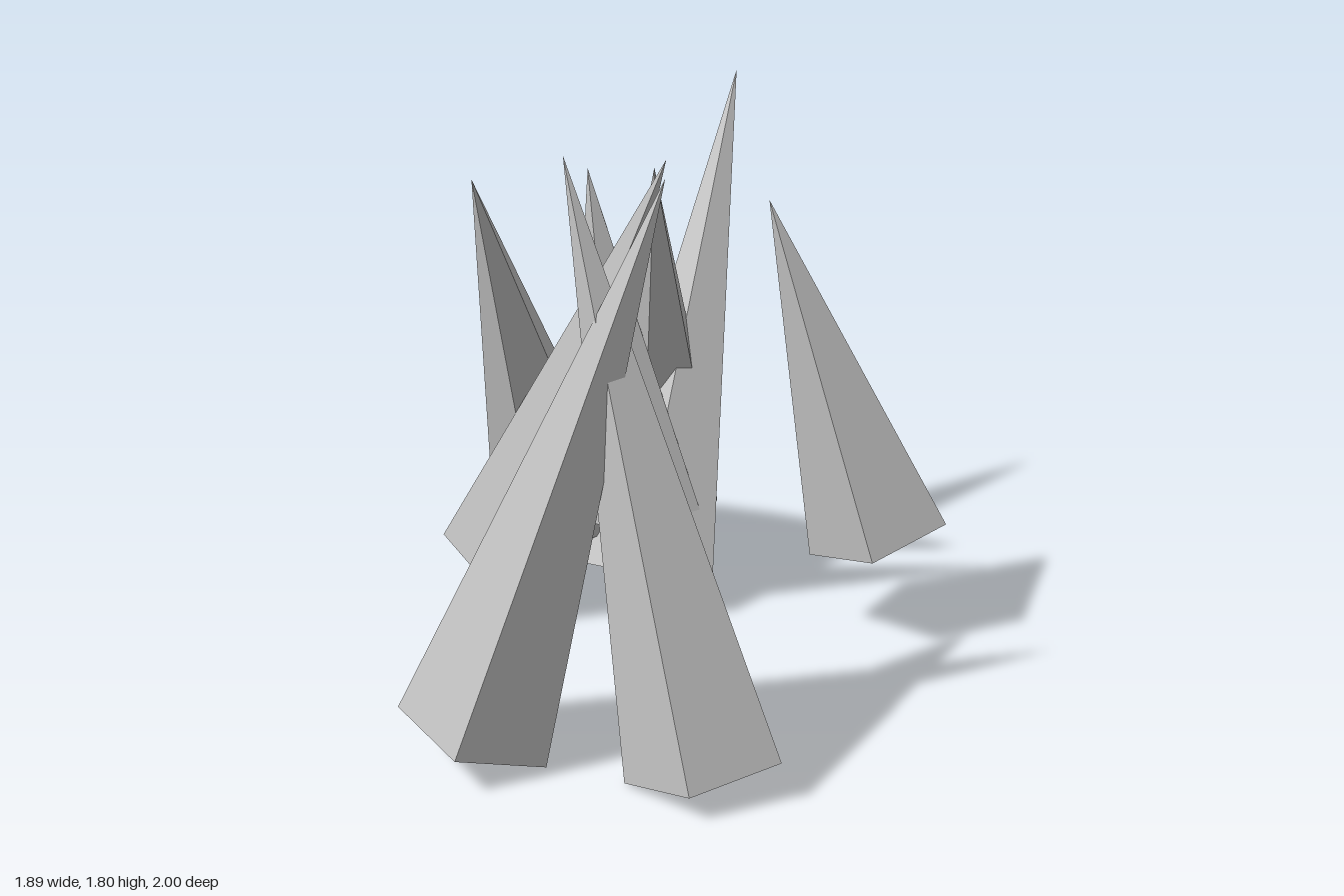
import * as THREE from 'three';

// A cluster of leaning five-sided spikes: [tip, centre of base]
const SPIKES = [
  ['frontSpike',       [0.53, 1.76, 0.38],   [0.174, 0.10, 0.80]],
  ['leftSpike',        [0.26, 1.80, 0.52],   [0.726, 0.06, 0.38]],
  ['backLeftSpike',    [0.075, 1.50, -0.455], [0.32, 0.36, -0.765]],
  ['tallBackSpike',    [-0.67, 1.77, -1.0],  [-0.341, 0.10, -0.318]],
  ['innerSpike',       [-0.03, 1.66, -0.11], [-0.638, 0.20, 0.07]],
  ['rightSpike',       [-0.45, 1.59, 0.33],  [-0.68, 0.28, -0.185]],
  ['backRightSpike',   [-0.215, 1.59, -0.22], [-0.725, 0.28, -0.695]],
  ['shortMiddleSpike', [-0.57, 1.53, -0.23], [-0.436, 0.33, -0.34]],
];
const RADIUS = 0.25;

function makeSpike(name, tip, base, material) {
  const foot = new THREE.Vector3(...base);
  const axis = new THREE.Vector3(...tip).sub(foot);
  const height = axis.length();
  axis.normalize();

  // Pentagonal cone standing on its base, one corner toward the back
  const cone = new THREE.ConeGeometry(RADIUS, height, 5);
  cone.rotateY(Math.PI);
  cone.translate(0, height / 2, 0);
  const geometry = cone.toNonIndexed();
  geometry.computeVertexNormals();

  // Lean forward or back first, then sideways
  const mesh = new THREE.Mesh(geometry, material);
  mesh.name = name;
  mesh.position.copy(foot);
  mesh.rotation.set(Math.asin(axis.z), 0, Math.atan2(-axis.x, axis.y), 'ZYX');
  return mesh;
}

export function createModel() {
  const group = new THREE.Group();
  group.name = 'spikeCluster';
  const grey = new THREE.MeshStandardMaterial({ color: 0xc4c4c4, flatShading: true });
  grey.name = 'light grey';
  for (const [name, tip, base] of SPIKES) group.add(makeSpike(name, tip, base, grey));
  return group;
}
